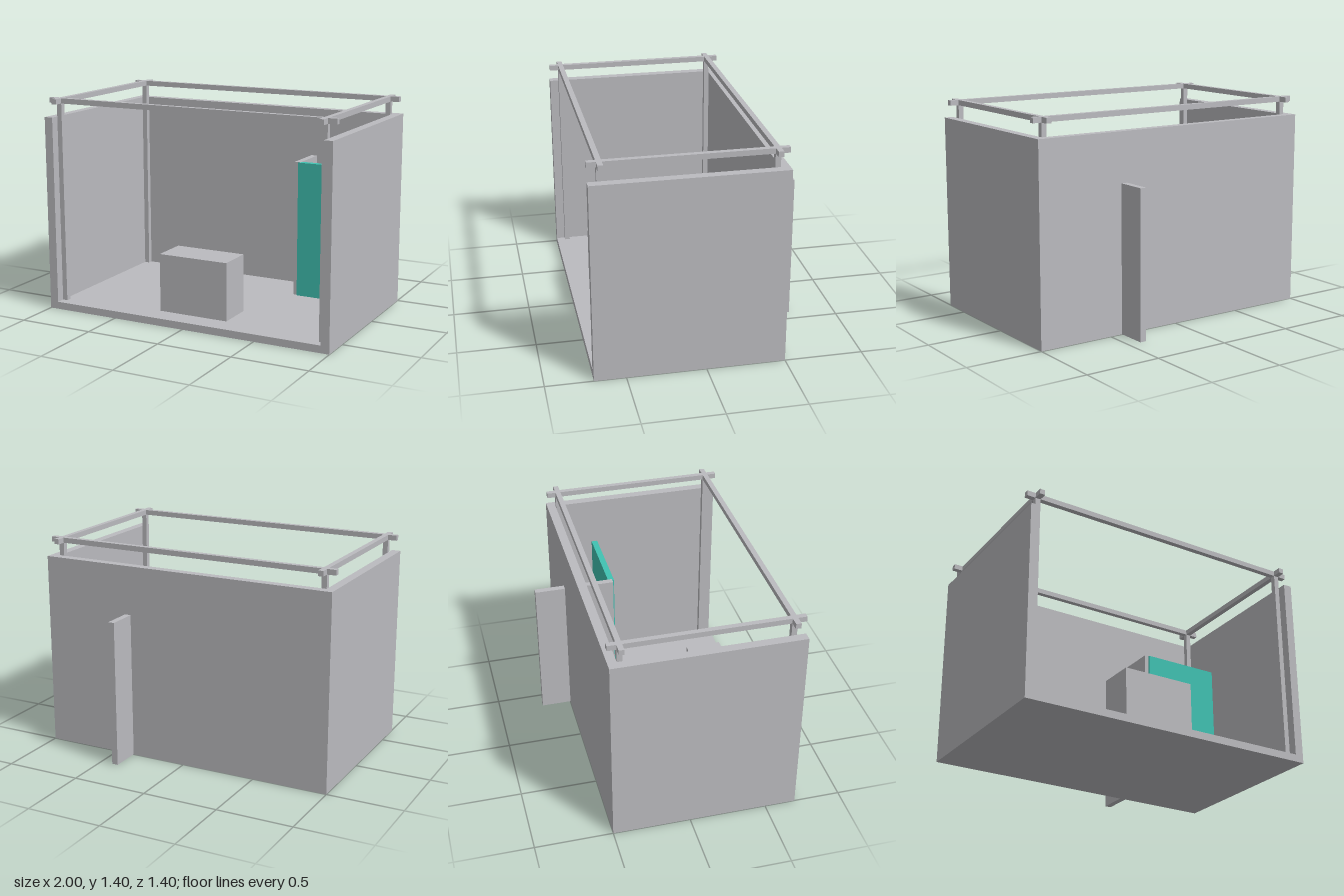
import * as THREE from 'three';

export function createModel() {
  const model = new THREE.Group();
  const grey = new THREE.MeshStandardMaterial({ color: 0xbbbbbf });
  grey.name = 'plain grey';
  const teal = new THREE.MeshStandardMaterial({ color: 0x40c2b2 });
  teal.name = 'teal';

  // Box given by its lower and upper limits on each axis
  function slab(name, [x0, x1], [y0, y1], [z0, z1], material = grey) {
    const mesh = new THREE.Mesh(new THREE.BoxGeometry(x1 - x0, y1 - y0, z1 - z0), material);
    mesh.position.set((x0 + x1) / 2, (y0 + y1) / 2, (z0 + z1) / 2);
    mesh.name = name;
    model.add(mesh);
  }

  const floorTop = 0.048, wallTop = 1.28, top = 1.4;
  const inner = 0.942, back = -0.5, front = 0.7, bar = 0.034;

  // Open-fronted booth shell
  slab('floor', [-1, 1], [0, floorTop], [back, front]);
  slab('backWall', [-inner, inner], [floorTop, wallTop], [back, -0.443]);
  slab('leftWall', [inner, 1], [floorTop, wallTop], [back, front]);
  slab('rightWall', [-1, -inner], [floorTop, wallTop], [back, front]);

  // Corner posts carrying a crossed frame of beams
  const postX = [[-inner, -inner + bar], [inner - bar, inner]];
  const postZ = [[-0.443, -0.409], [0.609, 0.643]];
  for (const x of postX) {
    for (const z of postZ) slab('post', x, [floorTop, top - bar], z);
    slab('sideBeam', x, [top - bar, top], [back, front]);
  }
  for (const z of postZ) slab('crossBeam', [-1, 1], [top - bar, top], z);

  // Counter near the front
  slab('counter', [-0.24, 0.24], [floorTop, 0.428], [0.318, 0.556]);

  // Storage corner: partition running out through the back wall, and its teal door
  slab('partition', [0.375, 0.416], [0.001, 0.96], [-0.7, -0.168]);
  slab('doorPanel', [0.404, inner], [0.02, 0.959], [-0.196, -0.156], teal);

  return model;
}
